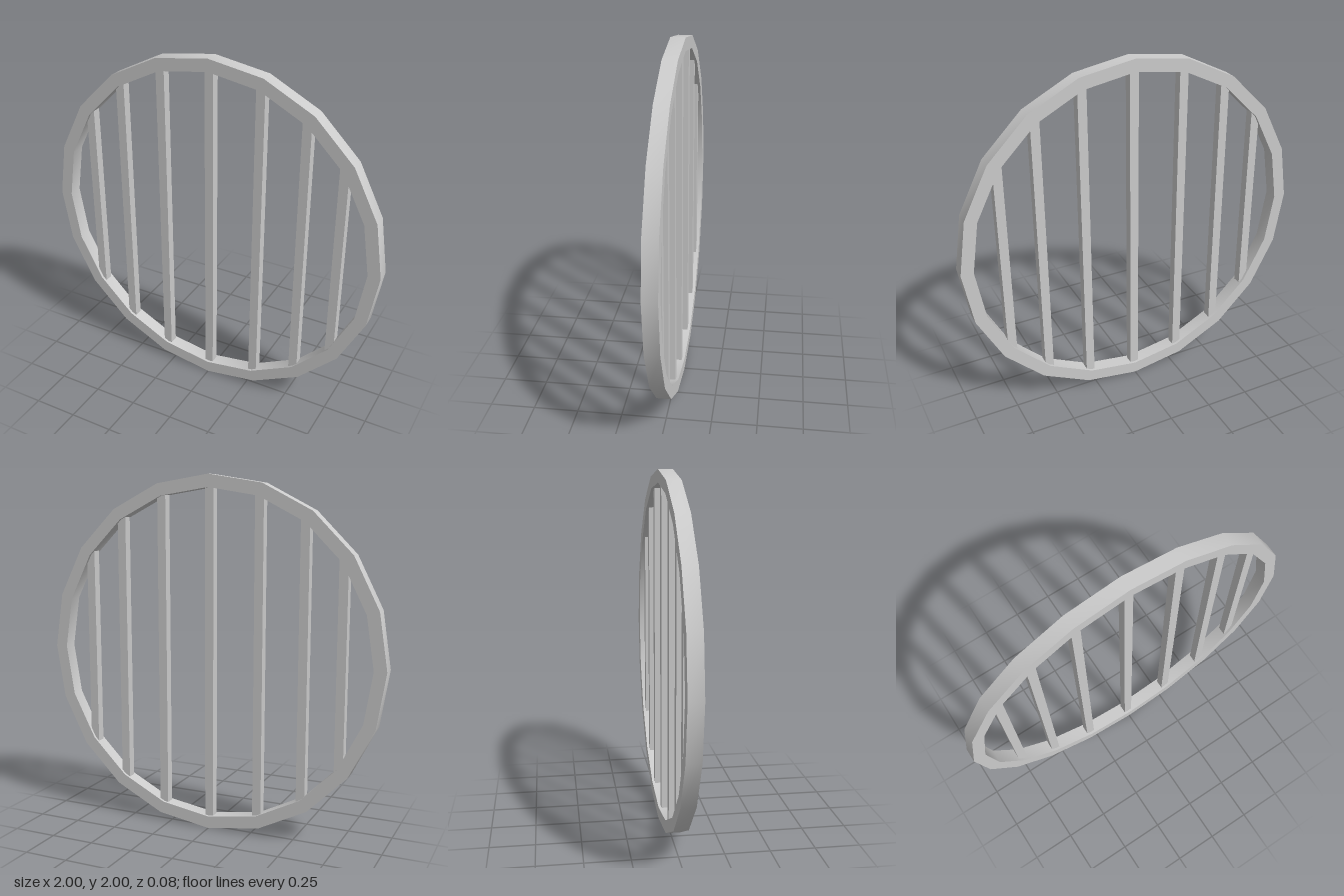
import * as THREE from 'three';
import { toCreasedNormals } from 'three/addons/utils/BufferGeometryUtils.js';

const SIDES = 20, OUTER = 1, INNER = 0.93, DEPTH = 0.08, BAR = 0.05;

// Corner points of a regular polygon
function polygon(radius) {
  return Array.from({ length: SIDES }, (_, i) => {
    const a = (i / SIDES) * Math.PI * 2;
    return new THREE.Vector2(radius * Math.cos(a), radius * Math.sin(a));
  });
}

export function createModel() {
  const group = new THREE.Group();
  group.name = 'roundGrate';
  const material = new THREE.MeshStandardMaterial({ color: 0xcccccc });

  // Twenty-sided frame with a softly shaded rim and sharp front and back edges
  const shape = new THREE.Shape(polygon(OUTER));
  shape.holes.push(new THREE.Path(polygon(INNER)));
  const ringGeometry = new THREE.ExtrudeGeometry(shape, { depth: DEPTH, bevelEnabled: false });
  ringGeometry.translate(0, 0, -DEPTH / 2);
  const ring = new THREE.Mesh(toCreasedNormals(ringGeometry, Math.PI / 6), material);
  ring.name = 'ringFrame';
  ring.position.y = OUTER;
  group.add(ring);

  // Square upright bars, their ends buried in the middle of the frame
  const bars = new THREE.Group();
  bars.name = 'bars';
  const middle = (OUTER + INNER) / 2;
  [-0.755, -0.545, -0.29, 0, 0.29, 0.545, 0.755].forEach((x, i) => {
    const height = 2 * Math.sqrt(middle * middle - x * x);
    const bar = new THREE.Mesh(new THREE.BoxGeometry(BAR, height, BAR), material);
    bar.name = `bar${i + 1}`;
    bar.position.set(x, OUTER, 0);
    bars.add(bar);
  });
  group.add(bars);

  return group;
}
